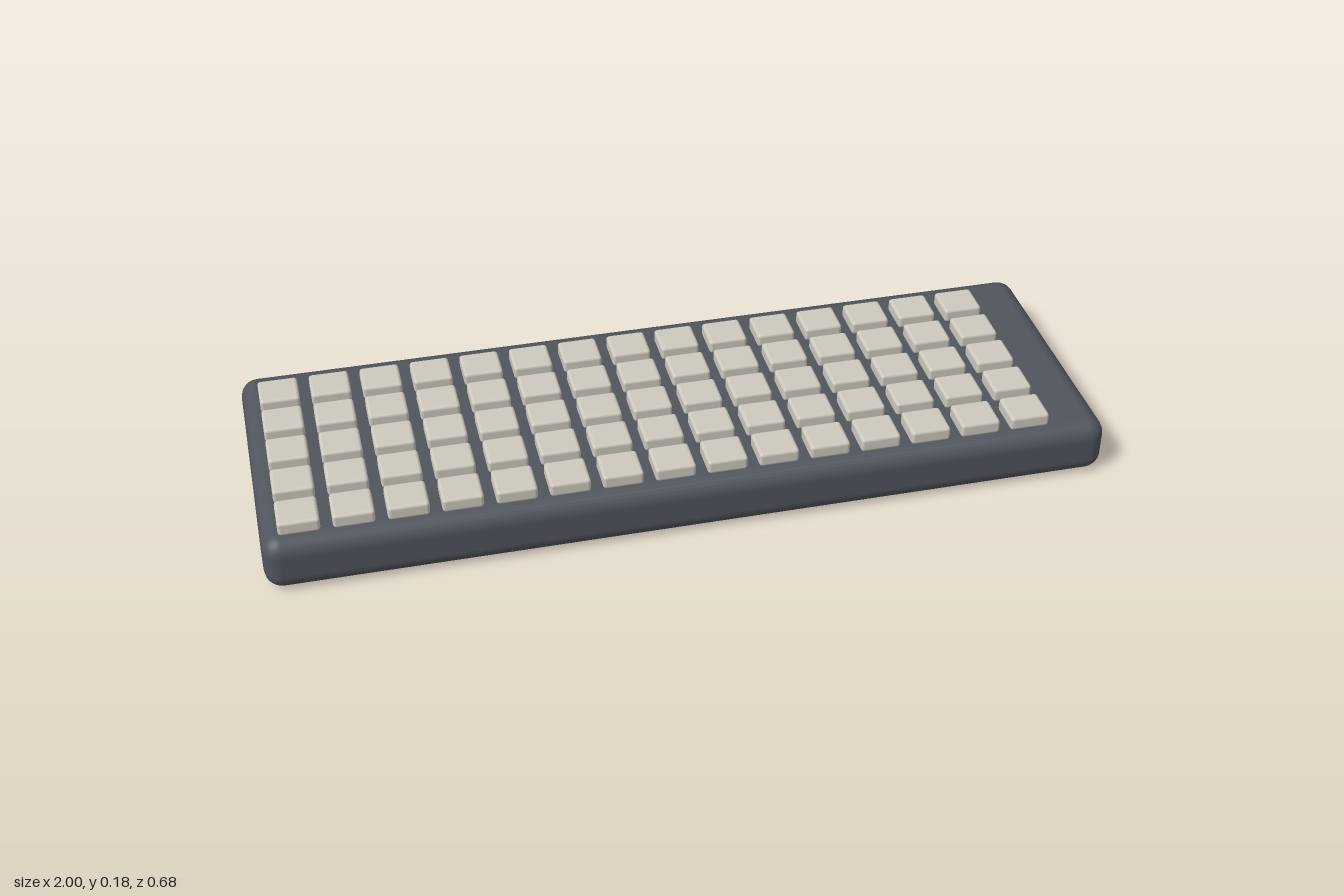
import * as THREE from 'three';
import { RoundedBoxGeometry } from 'three/addons/geometries/RoundedBoxGeometry.js';

export function createModel() {
  const model = new THREE.Group();
  model.name = 'keyboard';

  const caseGrey = new THREE.MeshStandardMaterial({ color: 0x50545c });
  caseGrey.name = 'caseGrey';
  const keyBeige = new THREE.MeshStandardMaterial({ color: 0xcdc9be });
  keyBeige.name = 'keyBeige';

  // Rounded slab case
  const body = new THREE.Mesh(new RoundedBoxGeometry(2, 0.138, 0.682, 3, 0.042), caseGrey);
  body.name = 'case';
  body.position.y = 0.069;
  model.add(body);

  // Grid of keycaps hovering just above the case, offset to one side
  const keys = new THREE.Group();
  keys.name = 'keys';
  const keyGeometry = new RoundedBoxGeometry(0.095, 0.035, 0.09, 2, 0.008);
  for (let row = 0; row < 5; row++) {
    for (let column = 0; column < 15; column++) {
      const key = new THREE.Mesh(keyGeometry, keyBeige);
      key.name = `keyRow${row + 1}Column${column + 1}`;
      key.position.set(-0.911 + column * 0.1227, 0.1605, -0.2 + row * 0.118);
      keys.add(key);
    }
  }
  model.add(keys);

  return model;
}
